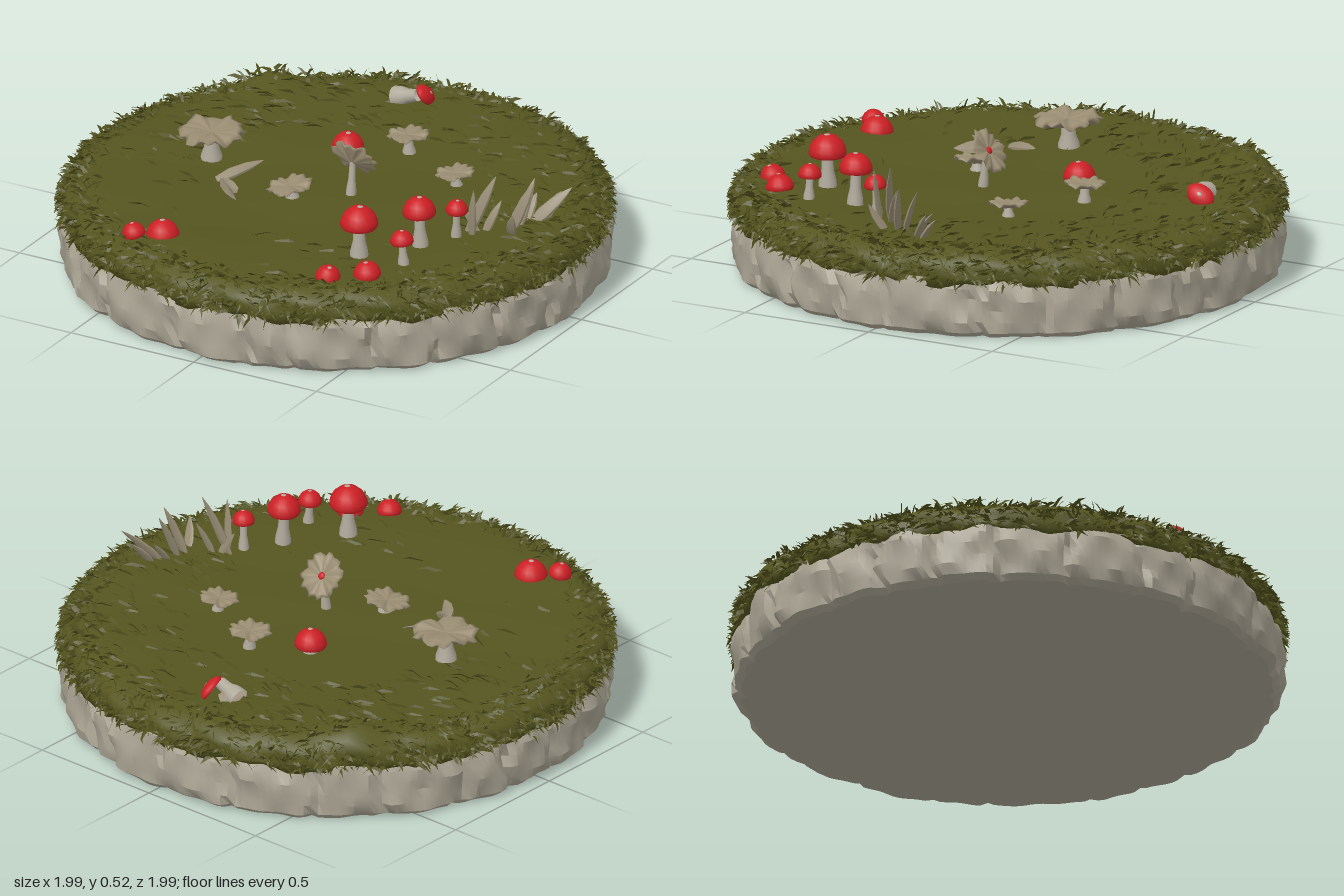
import * as THREE from 'three';
import { toCreasedNormals } from 'three/addons/utils/BufferGeometryUtils.js';

const V = (x, y, z) => new THREE.Vector3(x, y, z);
const UP = V(0, 1, 0);

function makeRandom(seed) {
  return () => {
    seed = (seed * 16807) % 2147483647;
    return seed / 2147483647;
  };
}

function material(name, color, side = THREE.FrontSide) {
  const m = new THREE.MeshStandardMaterial({ color, side });
  m.name = name;
  return m;
}

function mesh(name, geometry, mat) {
  const m = new THREE.Mesh(geometry, mat);
  m.name = name;
  return m;
}

// Lathe whose vertices are then moved by a rule(vertex, angle, radius)
function lathe(points, segments, rule) {
  const g = new THREE.LatheGeometry(points.map(([x, y]) => new THREE.Vector2(x, y)), segments);
  if (rule) {
    const p = g.attributes.position, v = V(0, 0, 0);
    for (let i = 0; i < p.count; i++) {
      v.fromBufferAttribute(p, i);
      rule(v, Math.atan2(v.x, v.z), Math.hypot(v.x, v.z));
      p.setXYZ(i, v.x, v.y, v.z);
    }
    g.computeVertexNormals();
  }
  return g;
}

// Height of the moss: gentle waves and one lump on the back left rim
function ground(x, z) {
  const r = Math.hypot(x, z);
  const wave = 0.006 * Math.sin(9 * x + 4 * z) * Math.cos(8 * z - 3 * x) * Math.min(1, r * 1.4);
  const lump = 0.04 * Math.exp(-((x + 0.64) ** 2 + (z + 0.62) ** 2) / 0.006);
  return 0.298 + 0.014 * THREE.MathUtils.smoothstep(r, 0.4, 0.8) + wave + lump;
}

// Radius of the moss side at height y (0.19 to 0.31)
const mossSide = (y) => 0.965 - 0.07 * Math.max(0, (y - 0.25) / 0.06) ** 2;

export function createModel() {
  const model = new THREE.Group();
  model.name = 'mossyDisc';
  const both = THREE.DoubleSide;
  const stone = material('stone', 0xaaa493);
  const moss = material('moss', 0x555520);
  const grass = material('grass', 0x50501c, both);
  const red = material('red cap', 0xcc1f24);
  const dry = material('dry cap', 0x998c72, both);
  const stemMat = material('stem', 0xb0aa9c, both);
  const wood = material('dead wood', 0x978c75, both);

  // Stone base: rough blocks parted by narrow cracks
  const random = makeRandom(71);
  const cracks = Array.from({ length: 24 }, (_, i) => ((i + 0.7 * random()) / 24) * Math.PI * 2 - Math.PI);
  const wall = lathe([[0, 0], [0.94, 0], [0.965, 0.02], [0.972, 0.06], [0.972, 0.1], [0.972, 0.14],
    [0.967, 0.18], [0.955, 0.215], [0.8, 0.22]], 240, (v, a, r) => {
    if (r < 0.9) return;
    const bent = a + 0.02 * Math.sin(30 * v.y + 5 * Math.sin(3 * a));
    const gap = Math.min(...cracks.map((c) => Math.abs(c - bent)));
    const dent = 0.022 * Math.exp(-((gap / 0.018) ** 2));
    const rough = 0.006 * Math.sin(17 * a + 22 * v.y) + 0.005 * Math.sin(41 * a - 35 * v.y)
      + 0.004 * Math.sin(9 * a + 50 * v.y);
    const k = (r + rough - dent) / r;
    v.x *= k;
    v.z *= k;
  });
  model.add(mesh('stoneBase', toCreasedNormals(wall, 0.5), stone));

  // Moss cushion
  const sides = [0.195, 0.22, 0.25, 0.27, 0.285, 0.297, 0.307].map((y) => [mossSide(y), y]);
  const top = [0.86, 0.8, 0.72, 0.64, 0.55, 0.45, 0.35, 0.25, 0.15, 0.07, 0].map((r) => [r, 1]);
  model.add(mesh('mossCushion', lathe([[0.9, 0.2], ...sides, ...top], 140, (v, a, r) => {
    if (v.y === 1) v.y = ground(v.x, v.z);
    else if (v.y < 0.21) v.y += 0.012 * Math.sin(13 * a) + 0.008 * Math.sin(37 * a);
    else if (r > 0.88) {
      v.y += (ground(v.x, v.z) - 0.312) * 0.8;
      const k = 1 + 0.008 * Math.sin(23 * a + 40 * v.y);
      v.x *= k;
      v.z *= k;
    }
  }), moss));

  // Grass blades: bent strips gathered into one mesh
  const blades = [];
  function blade(base, dir, length, width) {
    const side = V(random() - 0.5, random() - 0.5, random() - 0.5).cross(dir).normalize().multiplyScalar(width);
    const mid = base.clone().addScaledVector(dir, length * 0.55);
    const tip = base.clone().addScaledVector(dir, length);
    tip.y -= length * 0.2;
    const reach = Math.hypot(tip.x, tip.z);
    if (reach > 0.995) tip.multiply(V(0.995 / reach, 1, 0.995 / reach));
    const [a, b] = [base.clone().sub(side), base.clone().add(side)];
    const [c, d] = [mid.clone().addScaledVector(side, -0.8), mid.clone().addScaledVector(side, 0.8)];
    for (const p of [a, b, d, a, d, c, c, d, tip]) blades.push(p.x, p.y, p.z);
  }
  for (let i = 0; i < 4200; i++) {
    const a = random() * Math.PI * 2;
    const out = V(Math.sin(a), 0, Math.cos(a)), along = V(out.z, 0, -out.x);
    const onTop = i % 4 === 0;
    const y = 0.2 + 0.107 * random();
    const r = onTop ? 0.82 + 0.1 * random() : mossSide(y) - 0.008;
    const base = out.clone().multiplyScalar(r);
    base.y = onTop ? Math.min(ground(base.x, base.z), 0.35) - 0.006 : y;
    const dir = along.multiplyScalar(2 * random() - 1).addScaledVector(out, 0.25 + 0.35 * random());
    dir.y = onTop ? 0.1 + 0.35 * random() : 0.7 * random() - 0.35;
    blade(base, dir.normalize(), 0.03 + 0.035 * random(), 0.004 + 0.005 * random());
  }
  // Sparse flattened blades, mostly over the back half
  for (let i = 0; i < 420; i++) {
    const a = random() * Math.PI * 2, r = 0.5 + 0.34 * random();
    const base = V(r * Math.sin(a), 0, r * Math.cos(a));
    if (base.z > 0.1 && i % 4) continue;
    base.y = ground(base.x, base.z) - 0.002;
    blade(base, V(0.8, 0.12 + 0.1 * random(), random() - 0.5).normalize(), 0.05 + 0.05 * random(), 0.007);
  }
  const bladeGeometry = new THREE.BufferGeometry();
  bladeGeometry.setAttribute('position', new THREE.Float32BufferAttribute(blades, 3));
  bladeGeometry.computeVertexNormals();
  model.add(mesh('grassBlades', bladeGeometry, grass));

  function stem(height, r) {
    return mesh('stem', lathe([[r * 1.5, -0.02], [r * 1.35, height * 0.2], [r * 0.95, height * 0.5],
      [r * 0.85, height]], 12), stemMat);
  }
  function place(name, x, y, z, tiltX, tiltZ, ...parts) {
    const g = new THREE.Group();
    g.name = name;
    g.position.set(x, y, z);
    g.rotation.set(tiltX, 0, tiltZ);
    g.add(...parts);
    model.add(g);
  }

  // Red mushrooms: x, z, cap radius, cap top, tilts
  const redMushrooms = [
    [0.39, 0.51, 0.068, 0.5, 0, 0], [0.53, 0.32, 0.06, 0.492, 0, 0.04],
    [0.6, 0.19, 0.04, 0.45, 0.05, -0.05], [0.56, 0.49, 0.042, 0.435, 0, 0.08],
    [0.5, 0.64, 0.05, 0.362, 0.15, 0.1], [0.39, 0.73, 0.045, 0.358, 0.2, -0.2],
    [-0.3, 0.7, 0.06, 0.365, 0, 0.1], [-0.38, 0.76, 0.042, 0.36, 0.1, 0.2],
    [-0.09, -0.24, 0.058, 0.385, 0.05, 0],
  ];
  function redCap(r, height) {
    const g = new THREE.Group();
    const shell = lathe([[0.9, -0.1], [1, 0.05], [0.97, 0.32], [0.8, 0.68], [0.5, 0.95], [0.22, 1.06], [0, 1.08]]
      .map(([x, y]) => [x * r, y * r]), 18);
    const gills = lathe([[0.2, 0.05], [0.6, 0.02], [0.9, -0.1]].map(([x, y]) => [x * r, y * r]), 18);
    const spot = mesh('capSpot', new THREE.SphereGeometry(r * 0.17, 8, 6), stemMat);
    spot.scale.y = 0.3;
    spot.position.set(r * 0.06, r * 1.06, 0);
    g.add(mesh('redCap', shell, red), mesh('gills', gills, stemMat), spot);
    g.position.y = height;
    g.name = 'cap';
    return g;
  }
  for (const [x, z, r, capTop, tx, tz] of redMushrooms) {
    const y = ground(x, z) - 0.005;
    const h = capTop - y - r * 1.08;
    place('redMushroom', x, y, z, tx, tz, stem(Math.max(h, 0) + r * 0.1, r * 0.34), redCap(r, h));
  }

  // Dry mushrooms with frilled caps: x, z, cap radius, cap height, tilts
  function dryCap(r, height) {
    const rule = (v, a, d) => {
      const edge = d / r;
      const k = 1 + edge ** 3 * (0.07 * Math.sin(11 * a + r * 90) + 0.05 * Math.sin(17 * a));
      v.x *= k;
      v.z *= k;
      v.y += r * edge ** 2 * (0.09 * Math.sin(5 * a + r * 50) + 0.07 * Math.sin(11 * a));
    };
    const cap = lathe([[0.1, -0.25], [0.5, -0.14], [0.9, -0.02], [1, 0.06], [0.85, 0.13], [0.5, 0.11], [0, 0.03]]
      .map(([x, y]) => [x * r, y * r]), 48, rule);
    const m = mesh('dryCap', cap, dry);
    m.position.y = height;
    return m;
  }
  for (const [x, z, r, h, tx, tz] of [
    [-0.49, 0.03, 0.115, 0.105, 0.02, -0.02], [0.09, -0.36, 0.072, 0.07, 0, 0.06],
    [0.37, -0.21, 0.067, 0.05, 0.05, 0.1], [-0.08, 0.17, 0.078, 0.045, 0.1, 0.15],
  ]) place('dryMushroom', x, ground(x, z) - 0.005, z, tx, tz, stem(h, r * 0.24), dryCap(r, h));

  // Tall dry mushroom with its cap tipped to the back
  const tipped = dryCap(0.083, 0);
  const centre = mesh('capCentre', new THREE.SphereGeometry(0.014, 10, 6), red);
  centre.position.y = 0.006;
  centre.scale.y = 0.5;
  place('tippedCap', 0.09, 0.43, 0.03, -0.95, 0, tipped, centre);
  place('tippedStem', 0.09, 0.295, 0.05, -0.1, 0, stem(0.125, 0.013));

  // Fallen red mushroom at the back
  place('fallenMushroom', -0.15, 0.325, -0.71, 0.25, -1.25, stem(0.08, 0.026));
  const fallenCap = redCap(0.05, 0);
  fallenCap.scale.set(0.8, 0.55, 1.1);
  place('fallenCap', -0.07, 0.335, -0.74, -0.5, -0.9, fallenCap);

  // Flattened, slightly curved shards of dead wood from base to tip
  function shard(from, to, width, depth = 0.4) {
    const a = V(...from), d = V(...to).sub(a), length = d.length();
    const g = lathe([[0.6, 0], [1, 0.3], [0.8, 0.65], [0.35, 0.88], [0, 1]]
      .map(([x, y]) => [x * width, y * length]), 7, (v) => {
      v.z *= depth;
      v.z += 0.25 * width * Math.sin((v.y / length) * Math.PI);
    });
    const m = mesh('shard', toCreasedNormals(g, 0.6), wood);
    m.position.copy(a);
    m.quaternion.setFromUnitVectors(UP, d.normalize());
    model.add(m);
  }
  for (const [from, to, width] of [
    [[0.61, 0.29, 0.13], [0.7, 0.52, 0.08], 0.024], [[0.64, 0.29, 0.15], [0.66, 0.49, 0.17], 0.018],
    [[0.65, 0.29, 0.11], [0.58, 0.4, 0.12], 0.014], [[0.66, 0.29, 0.1], [0.71, 0.42, 0.06], 0.018],
    [[0.73, 0.29, 0.03], [0.8, 0.48, -0.01], 0.024], [[0.74, 0.29, 0], [0.77, 0.47, -0.07], 0.022],
    [[0.76, 0.29, -0.06], [0.87, 0.42, -0.16], 0.026], [[0.74, 0.29, -0.05], [0.75, 0.39, -0.12], 0.022],
    [[0.75, 0.29, 0.06], [0.79, 0.4, 0.12], 0.022], [[0.78, 0.29, -0.09], [0.82, 0.39, -0.17], 0.024],
    // Pieces lying on the moss
    [[-0.37, 0.31, 0.2], [-0.27, 0.345, 0.04], 0.022], [[-0.33, 0.32, 0.22], [-0.21, 0.32, 0.34], 0.032],
    [[-0.26, 0.31, 0.25], [-0.34, 0.33, 0.22], 0.022], [[-0.12, 0.32, -0.76], [-0.18, 0.34, -0.68], 0.03],
  ]) shard(from, to, width);

  return model;
}
